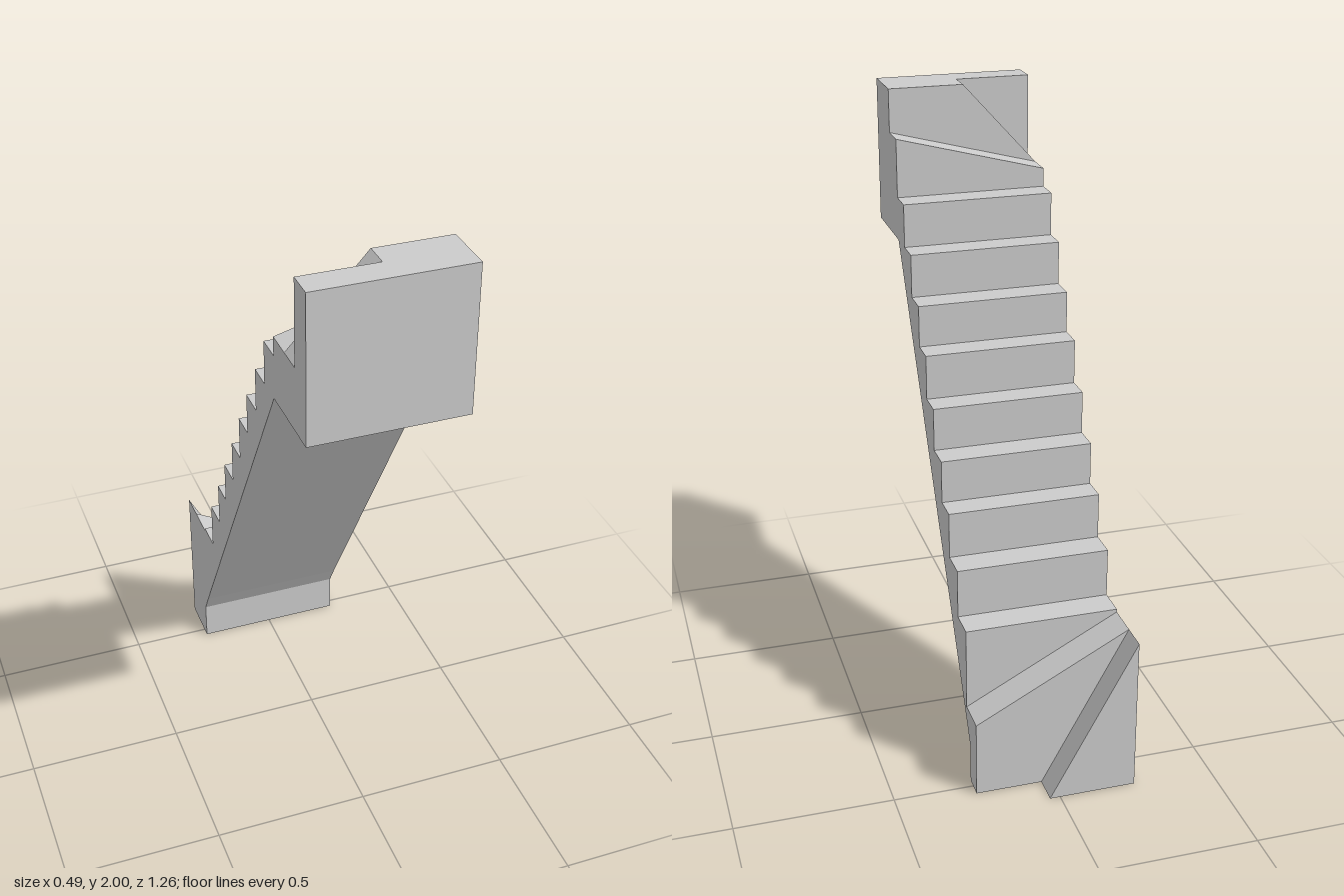
import * as THREE from 'three';

const W = 0.245; // half width of the flight

export function createModel() {
  const model = new THREE.Group();
  const material = new THREE.MeshStandardMaterial({ color: 0xcccccc });

  function add(name, geometry) {
    const mesh = new THREE.Mesh(geometry, material);
    mesh.name = name;
    model.add(mesh);
    return mesh;
  }

  function extrude(points, depth) {
    const shape = new THREE.Shape(points.map(([a, b]) => new THREE.Vector2(a, b)));
    return new THREE.ExtrudeGeometry(shape, { depth, bevelEnabled: false });
  }

  // Cross-section in x and y, running from z0 to z1
  const slice = (points, z0, z1) => extrude(points, z1 - z0).translate(0, 0, z0);

  // Straight flight: side profile in z and y, stepped above and sloped below
  const nosings = [-0.43, -0.335, -0.24, -0.155, -0.065, 0.02, 0.105, 0.195, 0.28];
  const heights = [0.52, 0.68, 0.83, 0.97, 1.11, 1.255, 1.39, 1.53, 1.67];
  const profile = [[-0.43, 0.2]];
  nosings.forEach((z, i) => {
    profile.push([z, heights[i]], [nosings[i + 1] ?? 0.365, heights[i]]);
  });
  profile.push([0.365, 1.53]);
  add('straightFlight', extrude(profile, 2 * W).rotateY(-Math.PI / 2).translate(W, 0, 0));

  // Upper turning steps, falling towards one side
  add('upperWinderTread', slice([[-W, 1.53], [W, 1.53], [W, 1.86], [-W, 1.73]], 0.365, 0.457));
  add('upperWinderBlock',
    slice([[-W, 1.53], [W, 1.53], [W, 2], [0, 2], [-W, 1.73]], 0.457, 0.54));
  add('topSlab', slice([[-W, 1.53], [W, 1.53], [W, 2], [-W, 2]], 0.54, 0.63));

  // Lower turning step with a sloped tread
  add('lowerWinderBlock', slice([[-W, 0], [W, 0], [W, 0.25], [-W, 0.51]], -0.54, -0.47));

  // Part of the lower step over the sloping underside
  const link = slice([[-W, 0.13], [W, 0.13], [W, 0.25], [-W, 0.51]], -0.47, -0.43);
  const p = link.attributes.position;
  for (let i = 0; i < p.count; i++) {
    if (p.getZ(i) > -0.45 && p.getY(i) < 0.2) p.setY(i, 0.2);
  }
  link.computeVertexNormals();
  add('lowerWinderLink', link);

  // Triangular first step
  add('bottomWedge', slice([[-W, 0], [0.033, 0], [-W, 0.51]], -0.63, -0.54));

  return model;
}
